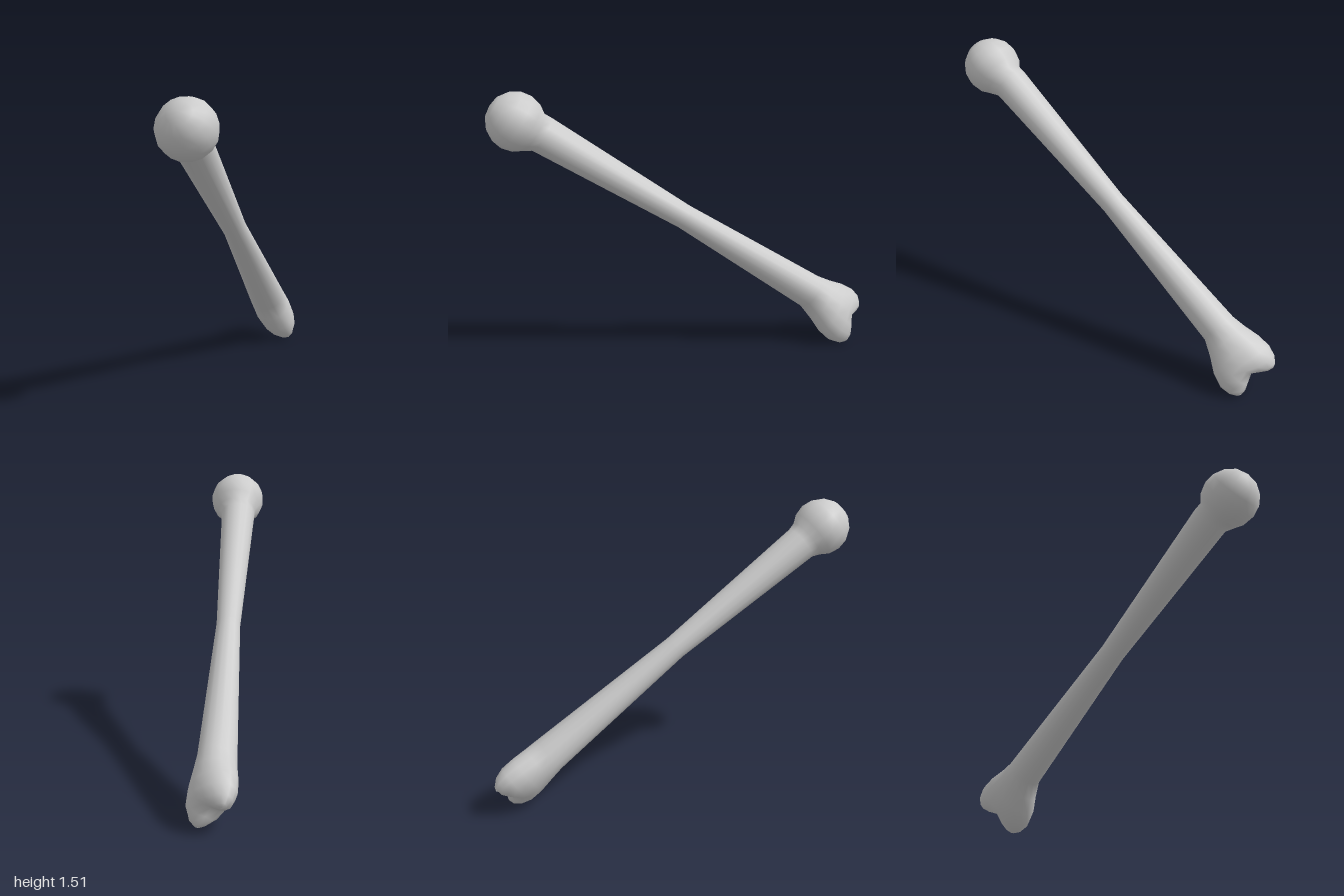
import * as THREE from 'three';
import { mergeVertices } from 'three/addons/utils/BufferGeometryUtils.js';

const SIDES = 16;

// Frame of the bone: D runs from head to condyles, W spans the two condyles, N is their thickness
const D = new THREE.Vector3(0.24, -0.57, -0.786).normalize();
const N = new THREE.Vector3().crossVectors(D, new THREE.Vector3(0.433, -0.7, 0.567)).normalize();
const W = new THREE.Vector3().crossVectors(N, D);

// One elliptical ring; notch pulls the middle of the ring back to form the groove
function ring(origin, s, shift, a, b, notch = 0) {
  const points = [];
  for (let j = 0; j < SIDES; j++) {
    const t = (j / SIDES) * Math.PI * 2;
    const u = a * Math.cos(t);
    const dip = notch * Math.exp(-((u / 0.05) ** 2));
    points.push(origin.clone()
      .addScaledVector(D, s - dip)
      .addScaledVector(W, u + shift)
      .addScaledVector(N, b * Math.sin(t)));
  }
  return points;
}

export function createModel() {
  const headCentre = new THREE.Vector3(-0.255, 1.37, 0.855);
  const neck = new THREE.Vector3(-0.23, 1.3, 0.735);
  const waist = new THREE.Vector3(-0.01, 0.797, 0.02);
  const shaftEnd = new THREE.Vector3(0.2, 0.3, -0.67);
  const rings = [];

  // Ball head
  const r = 0.153;
  for (const deg of [0, 25, 48, 70, 92, 115, 134]) {
    const p = (deg * Math.PI) / 180;
    rings.push(ring(headCentre, -r * Math.cos(p), 0, r * Math.sin(p), r * Math.sin(p)));
  }
  const shaftStart = rings.length;
  // Shaft, narrowest at the waist
  rings.push(ring(neck, 0.01, 0, 0.098, 0.096));
  rings.push(ring(waist, 0, 0, 0.066, 0.064));
  const condyleStart = rings.length;
  // Condyles: distance, sideways shift, half width, half thickness, groove depth
  for (const row of [
    [0, 0, 0.096, 0.1, 0],
    [0.08, 0.01, 0.122, 0.103, 0],
    [0.16, 0.02, 0.155, 0.107, 0],
    [0.235, 0.025, 0.168, 0.102, 0.012],
    [0.29, 0.025, 0.155, 0.08, 0.03],
    [0.323, 0.025, 0.13, 0.045, 0.045],
    [0.332, 0.025, 0.11, 0, 0.052],
  ]) rings.push(ring(shaftEnd, ...row));

  // Skin all rings together so shading runs smoothly across the parts
  const index = [];
  for (let i = 0; i < rings.length - 1; i++) {
    for (let j = 0; j < SIDES; j++) {
      const k = (j + 1) % SIDES;
      const a = i * SIDES + j, b = i * SIDES + k;
      index.push(a, b, a + SIDES, b, b + SIDES, a + SIDES);
    }
  }
  let skin = new THREE.BufferGeometry().setFromPoints(rings.flat());
  skin.setIndex(index);
  skin = mergeVertices(skin, 1e-5);
  skin.computeVertexNormals();

  // Split the skin into named parts
  const model = new THREE.Group();
  model.name = 'bone';
  const material = new THREE.MeshStandardMaterial({ color: 0xcccccc });
  const order = Array.from(skin.index.array);
  const addPart = (name, from, to) => {
    const part = skin.clone();
    part.setIndex(order.slice(from * SIDES * 6, to * SIDES * 6));
    const mesh = new THREE.Mesh(part.toNonIndexed(), material);
    mesh.name = name;
    model.add(mesh);
  };
  addPart('ballHead', 0, shaftStart);
  addPart('shaft', shaftStart, condyleStart);
  addPart('condyles', condyleStart, rings.length - 1);

  // Stand on the ground, centred
  const box = new THREE.Box3().setFromObject(model);
  const c = box.getCenter(new THREE.Vector3());
  model.position.set(-c.x, -box.min.y, -c.z);
  return model;
}
